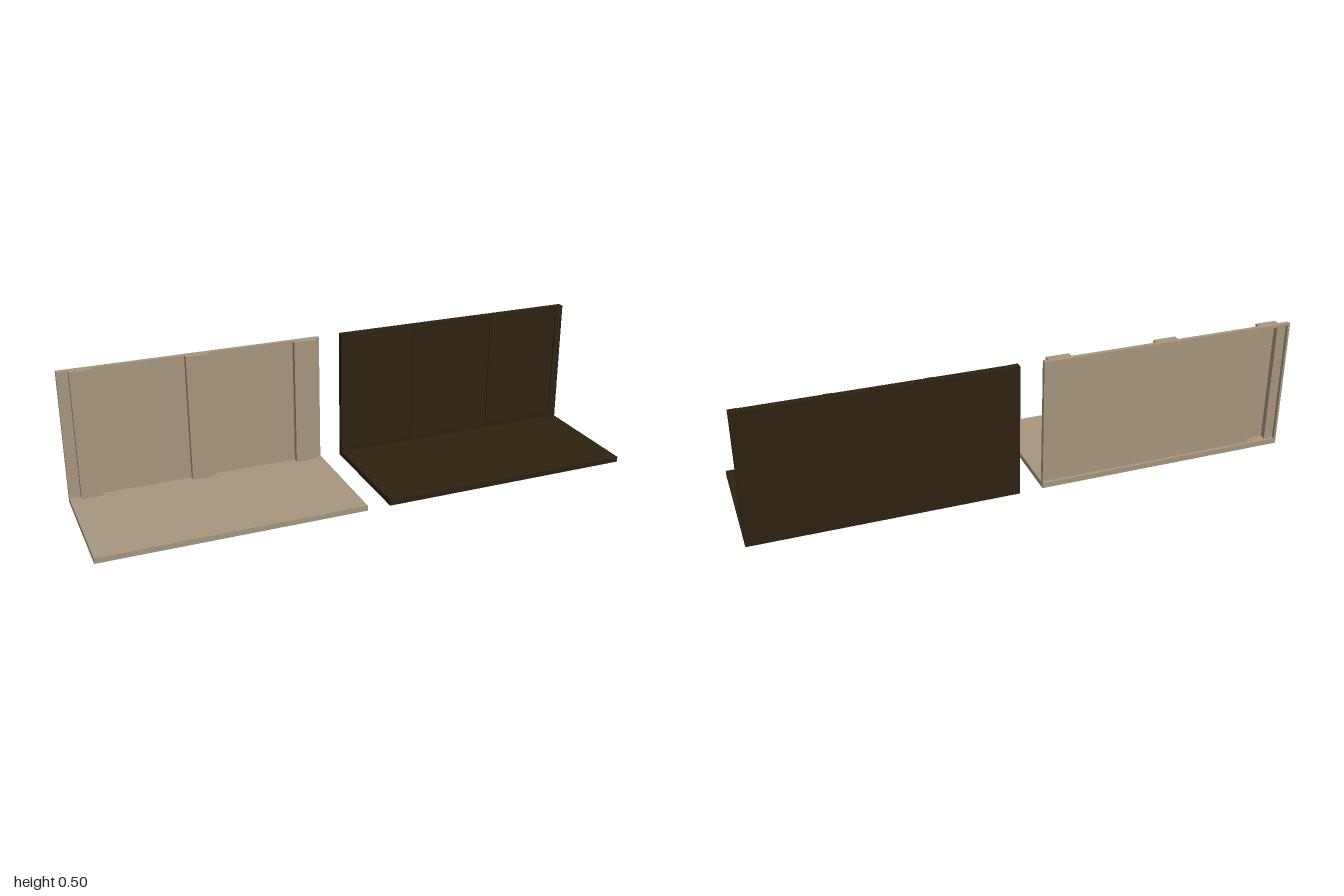
import * as THREE from 'three';

const beige = new THREE.MeshStandardMaterial({ color: 0xa8977e });
beige.name = 'beige';
const darkBrown = new THREE.MeshStandardMaterial({ color: 0x2e210f });
darkBrown.name = 'dark brown';

// Adds a box given by its lower and upper corners
function block(group, name, material, [x0, y0, z0], [x1, y1, z1]) {
  const geometry = new THREE.BoxGeometry(x1 - x0, y1 - y0, z1 - z0);
  geometry.translate((x0 + x1) / 2, (y0 + y1) / 2, (z0 + z1) / 2);
  const mesh = new THREE.Mesh(geometry, material);
  mesh.name = name;
  group.add(mesh);
}

const FLOOR = 0.02;
const TOP = 0.497;

// Pale section: floor, thin wall with a rear frame, three pilasters
function paleSection() {
  const g = new THREE.Group();
  g.name = 'paleSection';
  const add = (name, a, b) => block(g, name, beige, a, b);
  const x0 = -1, x1 = -0.046, back = -0.235, face = -0.219;
  const lip = TOP - 0.01;

  add('floor', [x0, 0, back], [x1, FLOOR, 0.24]);
  add('wallPanel', [-0.88, FLOOR, face - 0.003], [x1 - 0.006, lip, face]);
  add('wallEndPanel', [x0 + 0.008, FLOOR, face - 0.003], [-0.96, lip, face]);

  // Frame around the back of the wall
  add('topRail', [x0, lip, back], [x1, TOP, face]);
  add('endStile', [x0, FLOOR, back], [x0 + 0.008, lip, face]);
  add('endStile', [x1 - 0.006, FLOOR, back], [x1, lip, face]);

  // End pilaster is hollow at the back
  add('pilasterFace', [-0.96, FLOOR, -0.2], [-0.88, lip, -0.197]);
  add('pilasterSide', [-0.96, FLOOR, face - 0.003], [-0.957, lip, -0.2]);
  add('pilasterSide', [-0.883, FLOOR, face - 0.003], [-0.88, lip, -0.2]);
  add('pilasterCap', [-0.96, lip, face], [-0.88, TOP, -0.197]);

  for (const [a, b] of [[-0.555, -0.47], [-0.15, -0.065]]) {
    add('pilaster', [a, FLOOR, face], [b, TOP, -0.197]);
  }
  return g;
}

// Dark section: floor, solid wall, rails and stiles forming three panels
function darkSection() {
  const g = new THREE.Group();
  g.name = 'darkSection';
  const add = (name, a, b) => block(g, name, darkBrown, a, b);
  const x0 = 0.042, x1 = 1, back = -0.24, face = -0.222;

  add('floor', [x0, 0, back], [x1, FLOOR, 0.236]);
  add('wall', [x0, FLOOR, back], [x1, TOP, face]);
  add('topRail', [x0, 0.465, face], [x1, TOP, -0.215]);
  add('bottomRail', [x0, FLOOR, face], [x1, 0.054, -0.215]);

  // Stiles stand slightly clear of the wall between the rails
  for (const [a, b] of [[x0, 0.068], [0.337, 0.364], [0.672, 0.699], [0.971, x1]]) {
    add('stile', [a, FLOOR, -0.218], [b, TOP, -0.213]);
  }
  return g;
}

export function createModel() {
  const model = new THREE.Group();
  model.name = 'wallAndFloorSections';
  model.add(paleSection(), darkSection());
  return model;
}
